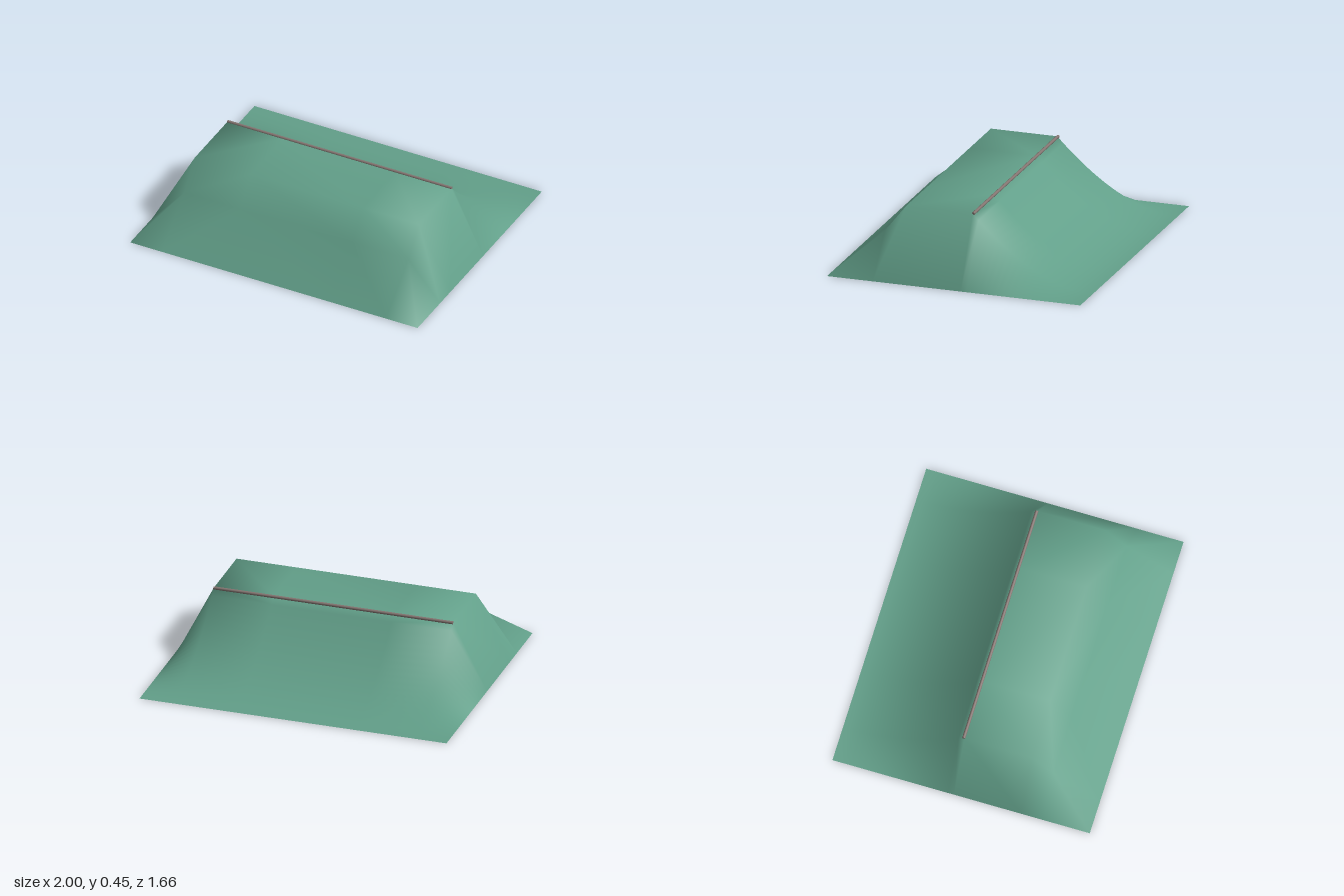
import * as THREE from 'three';

export function createModel() {
  const model = new THREE.Group();
  const rampGreen = new THREE.MeshStandardMaterial({ color: 0x629f89, side: THREE.DoubleSide });
  const railGrey = new THREE.MeshStandardMaterial({ color: 0x857672 });

  // Side profile [z, y]: front bank, deck, then the curved transition down to the back
  const top = 0.437, lip = -0.045, back = -0.83;
  const profile = [[0.83, 0], [0.53, 0.26], [0.39, top]];
  const steps = 20;
  for (let k = 0; k <= steps; k++) {
    const t = k / steps;
    profile.push([lip + (back - lip) * t, top * Math.pow(1 - t, 1.85)]);
  }

  // Open shell: the outer columns lie on the ground and form the sloping flanks
  const columns = [-1, -0.78, -0.39, 0.39, 0.78, 1];
  const n = columns.length;
  const positions = [], index = [];
  for (const [z, y] of profile) {
    for (const x of columns) positions.push(x, Math.abs(x) === 1 ? 0 : y, z);
  }
  for (let j = 0; j < profile.length - 1; j++) {
    for (let i = 0; i < n - 1; i++) {
      const a = j * n + i, b = a + 1, c = b + n, d = a + n;
      // Mirrored diagonals keep the front corners in the plane of the bank
      if (i < n / 2 - 1) index.push(a, b, c, a, c, d);
      else index.push(a, b, d, b, c, d);
    }
  }
  const shell = new THREE.BufferGeometry();
  shell.setAttribute('position', new THREE.Float32BufferAttribute(positions, 3));
  shell.setIndex(index);
  shell.computeVertexNormals();
  const ramp = new THREE.Mesh(shell, rampGreen);
  ramp.name = 'ramp';
  model.add(ramp);

  // Coping rail along the lip of the transition
  const rail = new THREE.Mesh(new THREE.CylinderGeometry(0.01, 0.01, 1.56, 10), railGrey);
  rail.name = 'copingRail';
  rail.rotation.z = Math.PI / 2;
  rail.position.set(0, top, -0.05);
  model.add(rail);

  return model;
}
